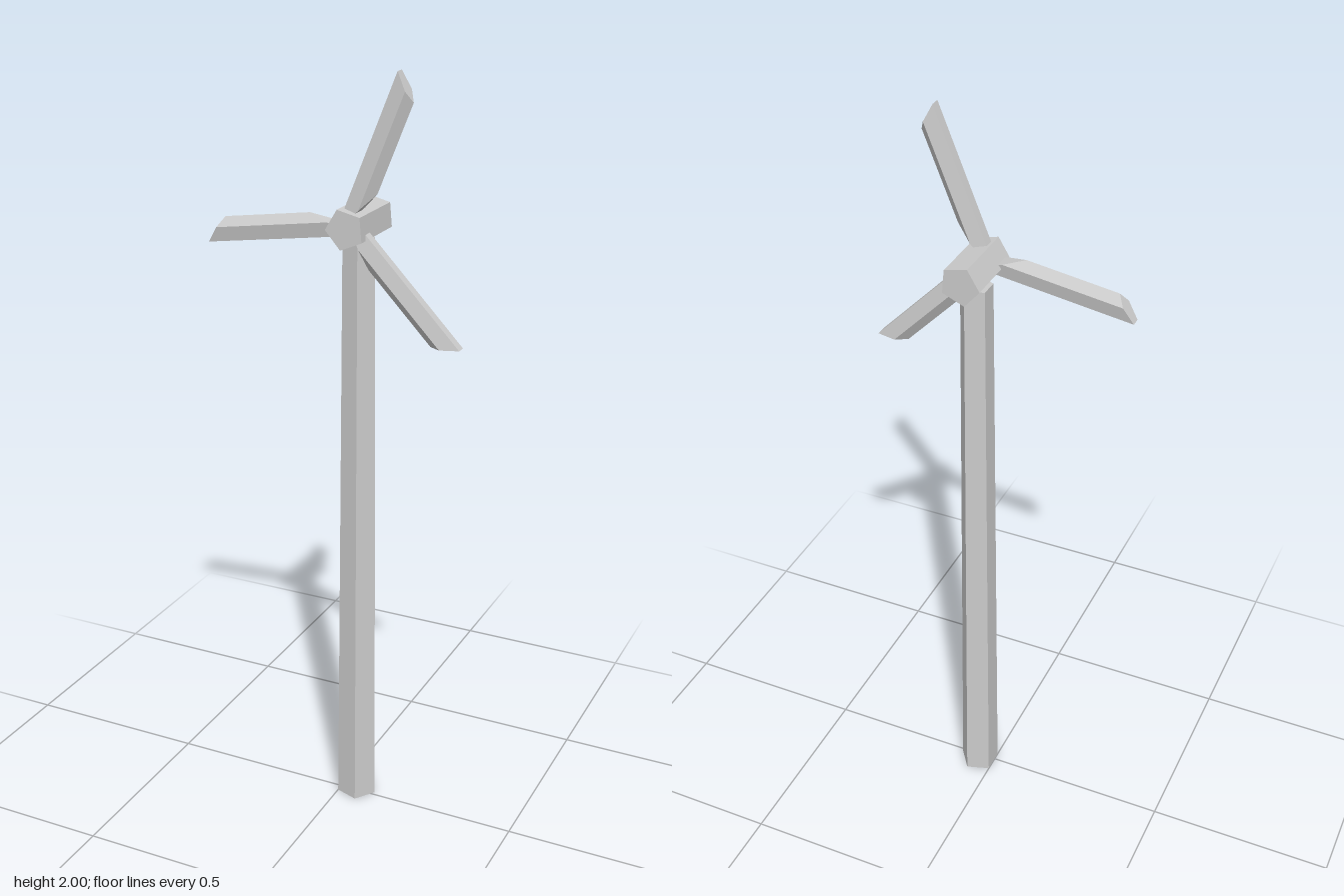
import * as THREE from 'three';

const material = new THREE.MeshStandardMaterial({ color: 0xcccccc, flatShading: true });
const HUB = { x: 0.05, y: 1.626 };

function addPart(parent, name, geometry) {
  const mesh = new THREE.Mesh(geometry, material);
  mesh.name = name;
  parent.add(mesh);
  return mesh;
}

// Five-sided blade along +y, with both ends cut at a slant
function bladeGeometry() {
  const geometry = new THREE.CylinderGeometry(1, 1, 1, 5, 1, false, Math.PI / 2);
  const p = geometry.attributes.position;
  for (let i = 0; i < p.count; i++) {
    const x = 0.004 + 0.033 * p.getX(i);
    const depth = 0.037 - x; // distance below the ridge
    const y = p.getY(i) > 0 ? 0.342 + 0.87 * depth : 0.105 - 2.28 * depth;
    p.setXYZ(i, x, y, 0.021 * p.getZ(i));
  }
  geometry.computeVertexNormals();
  return geometry;
}

export function createModel() {
  const model = new THREE.Group();
  model.name = 'windTurbine';

  // Tapered five-sided tower
  const tower = addPart(model, 'tower',
    new THREE.CylinderGeometry(0.042, 0.054, 1.59, 5, 1, false, Math.PI / 2));
  tower.position.set(0.044, 0.795, -0.01);

  // Five-sided housing lying along z
  const housing = addPart(model, 'housing',
    new THREE.CylinderGeometry(0.052, 0.052, 0.178, 5, 1, false, THREE.MathUtils.degToRad(203))
      .rotateX(Math.PI / 2));
  housing.position.set(HUB.x, HUB.y, -0.001);

  // Rotor with three blades: direction in degrees and slight sideways offset
  const rotor = new THREE.Group();
  rotor.name = 'rotor';
  rotor.position.set(HUB.x, HUB.y, 0.05);
  model.add(rotor);
  const blades = [[68, 0.006], [188.4, -0.003], [-46, 0]];
  blades.forEach(([degrees, offset], i) => {
    const blade = addPart(rotor, `blade${i + 1}`, bladeGeometry().translate(-offset, 0, 0));
    blade.rotation.z = THREE.MathUtils.degToRad(degrees - 90);
  });

  return model;
}
